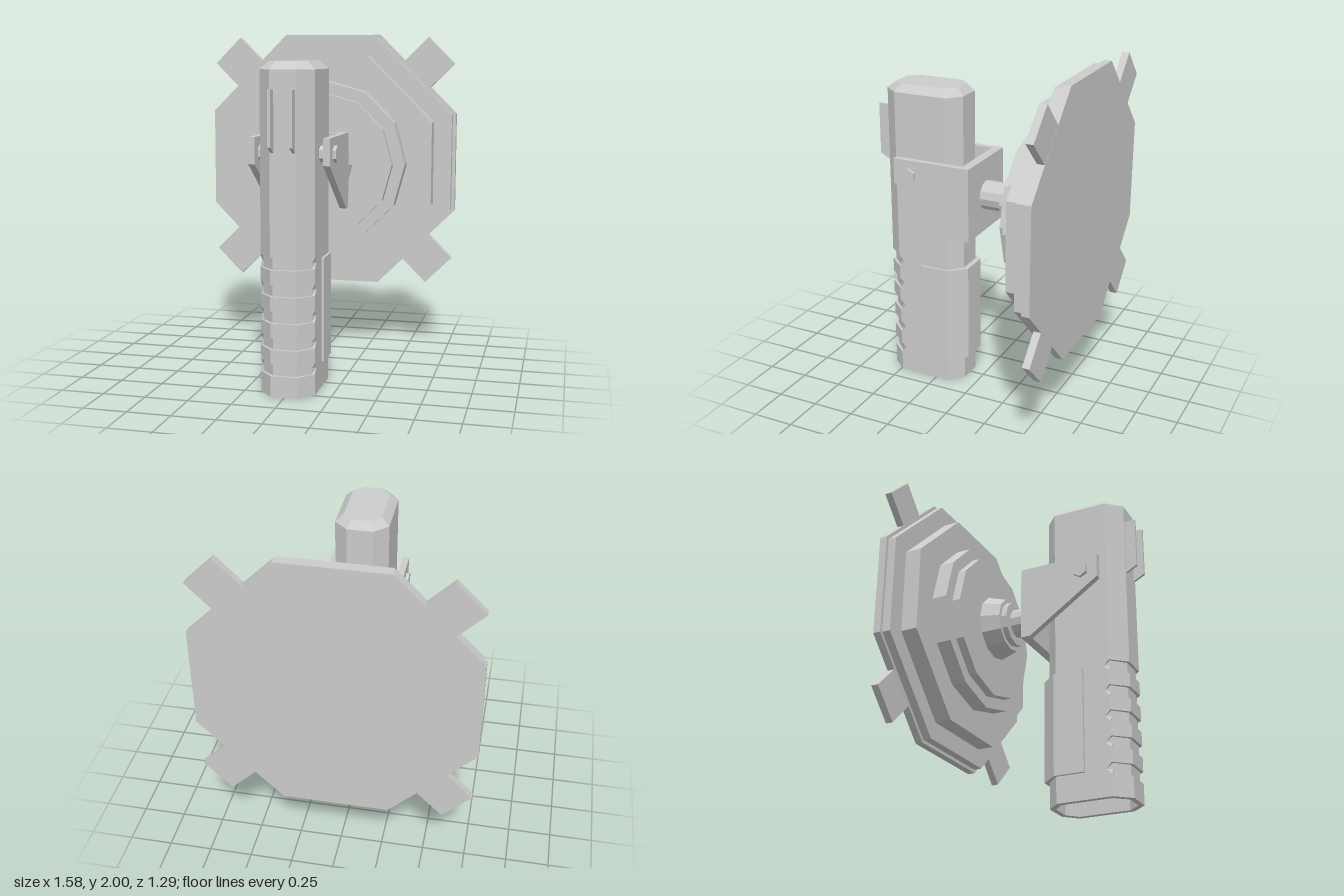
import * as THREE from 'three';

const AXIS_Y = 1.21; // height of the mount's axis

export function createModel() {
  const group = new THREE.Group();
  const material = new THREE.MeshStandardMaterial({ color: 0xcccccc, flatShading: true });

  function add(name, geometry, x = 0, y = 0, z = 0) {
    const mesh = new THREE.Mesh(geometry, material);
    mesh.name = name;
    mesh.position.set(x, y, z);
    group.add(mesh);
    return mesh;
  }

  // Closed skin through rings of [x, z] points, each ring at its own heights
  function loft(rings) {
    const pos = [];
    const tri = (...pts) => pts.forEach((p) => pos.push(...p));
    const n = rings[0].length;
    for (let r = 0; r < rings.length - 1; r++) {
      const a = rings[r], b = rings[r + 1];
      for (let i = 0; i < n; i++) {
        const j = (i + 1) % n;
        tri(a[i], a[j], b[j]);
        tri(a[i], b[j], b[i]);
      }
    }
    const first = rings[0], last = rings[rings.length - 1];
    for (let i = 1; i < n - 1; i++) {
      tri(first[0], first[i + 1], first[i]);
      tri(last[0], last[i], last[i + 1]);
    }
    const g = new THREE.BufferGeometry();
    g.setAttribute('position', new THREE.Float32BufferAttribute(pos, 3));
    g.computeVertexNormals();
    return g;
  }

  // Mirrors half a section (front to back along +x) into a full ring
  function ring(half, y) {
    const right = half.map(([x, z]) => [x, y, z]);
    const left = half.map(([x, z]) => [-x, y, z]).reverse();
    return [...right, ...left];
  }

  function extrude(points, depth) {
    const shape = new THREE.Shape(points.map(([x, y]) => new THREE.Vector2(x, y)));
    return new THREE.ExtrudeGeometry(shape, { depth, bevelEnabled: false });
  }

  // Side profile of [z, y] points, given a thickness along x
  function sideProfile(points, width) {
    const g = extrude(points.map(([z, y]) => [-z, y]), width);
    return g.rotateY(Math.PI / 2).translate(-width / 2, 0, 0);
  }

  // Handle: chamfered bar with hollow base, finger notches and bevelled top
  const back = [[0.155, 0.165], [0.075, 0.09]];
  const full = [[0.075, 0.58], [0.155, 0.49], [0.155, 0.49], ...back];
  const notch = [[0.066, 0.563], [0.138, 0.49], [0.155, 0.49], ...back];
  const notchMid = [[0.066, 0.563], [0.138, 0.49], [0.155, 0.46], ...back];
  const hollow = [[0.06, 0.55], [0.125, 0.478], [0.125, 0.478], [0.125, 0.178], [0.06, 0.12]];
  const cap = [[0.055, 0.525], [0.11, 0.465], [0.11, 0.465], [0.11, 0.185], [0.055, 0.13]];
  const rings = [ring(hollow, 0.1), ring(hollow, 0), ring(full, 0)];
  for (let i = 0; i < 5; i++) {
    const y = 0.12 + i * 0.149;
    rings.push(ring(full, y), ring(notch, y), ring(notchMid, y + 0.034),
      ring(notch, y + 0.068), ring(full, y + 0.068));
  }
  rings.push(ring(full, 1.8), ring(cap, 1.843));
  add('handle', loft(rings));

  // Raised pad around the back of the grip
  const pad = [[0.17, 0.335], [0.17, 0.158], [0.082, 0.06]];
  add('gripBackPad', loft([ring(pad, 0.152), ring(pad, 0.75)]));

  for (const side of [1, -1]) {
    // Fins on the front of the handle
    const fin = [[0.57, 1.35], [0.645, 1.39], [0.645, 1.695], [0.57, 1.695]];
    add('frontFin', sideProfile(fin, 0.016), side * 0.06);

    // Bracket arms
    const arm = [[0.463, 1.43], [-0.018, 1.43], [-0.018, 0.99], [0.04, 0.99], [0.463, 1.28]];
    add('bracketArm', sideProfile(arm, 0.038), side * 0.212);
  }
  add('bracketBack', new THREE.BoxGeometry(0.386, 0.44, 0.055), 0, 1.21, 0.0095);

  // Hexagonal pivot bolt through bracket and handle
  const bolt = new THREE.CylinderGeometry(0.046, 0.046, 0.5, 6, 1, false, Math.PI / 2);
  add('pivotBolt', bolt.rotateZ(Math.PI / 2), 0, 1.338, 0.363);

  // Round steps of the mount: name, front z, back z, front radius, back radius, sides
  const steps = [
    ['stem', -0.015, -0.17, 0.086, 0.086, 12],
    ['stemCollar', -0.165, -0.205, 0.135, 0.135, 12],
    ['stemCone', -0.2, -0.312, 0.16, 0.195, 12],
    ['smallStep', -0.31, -0.362, 0.437, 0.437, 12],
    ['middleStep', -0.36, -0.452, 0.509, 0.509, 12],
  ];
  for (const [name, z0, z1, r0, r1, sides] of steps) {
    const g = new THREE.CylinderGeometry(r0, r1, z0 - z1, sides).rotateX(Math.PI / 2);
    add(name, g, 0, AXIS_Y, (z0 + z1) / 2);
  }

  // Octagonal plates: name, front z, back z, half width
  const plates = [
    ['largeStep', -0.45, -0.552, 0.66],
    ['rimPlate', -0.55, -0.602, 0.77],
    ['basePlate', -0.6, -0.645, 0.79],
  ];
  for (const [name, z0, z1, w] of plates) {
    const c = w * 0.385;
    const corners = [[c, -w], [w, -c], [w, c], [c, w], [-c, w], [-w, c], [-w, -c], [-c, -w]];
    add(name, extrude(corners, z0 - z1), 0, AXIS_Y, z1);
  }

  // Diagonal mounting tabs
  for (let i = 0; i < 4; i++) {
    const angle = Math.PI / 4 + (i * Math.PI) / 2;
    const g = new THREE.BoxGeometry(0.25, 0.23, 0.043).translate(0.855, 0, 0);
    add('mountingTab', g, 0, AXIS_Y, -0.6225).rotation.z = angle;
  }

  return group;
}
